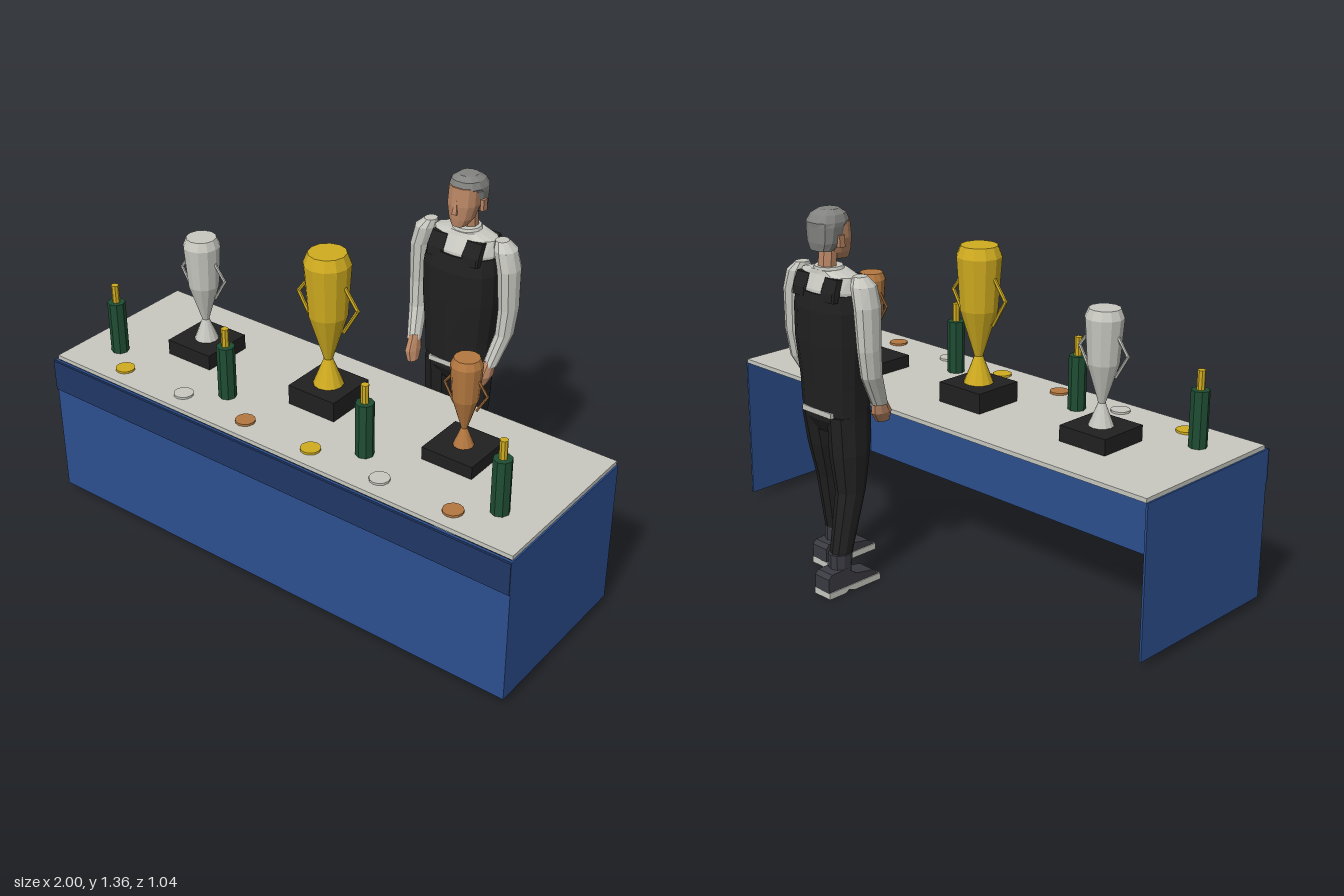
import * as THREE from 'three';

const mat = (name, hex) => {
  const m = new THREE.MeshStandardMaterial({ color: hex });
  m.name = name;
  return m;
};

// Faceted normals for any geometry
function flat(geo) {
  const g = geo.index ? geo.toNonIndexed() : geo;
  g.computeVertexNormals();
  return g;
}

// Closed body through rings [y, cx, cz, hx, hz] listed from bottom to top; p < 1 squares the rings
function loft(rings, n = 12, p = 1) {
  const pos = [], idx = [];
  const bend = v => Math.sign(v) * Math.pow(Math.abs(v), p);
  for (const [y, cx, cz, hx, hz] of rings)
    for (let i = 0; i < n; i++) {
      const a = ((i + 0.5) / n) * Math.PI * 2;
      pos.push(cx + hx * bend(Math.cos(a)), y, cz + hz * bend(Math.sin(a)));
    }
  const last = (rings.length - 1) * n, bottom = rings.length * n, top = bottom + 1;
  for (const [y, cx, cz] of [rings[0], rings[rings.length - 1]]) pos.push(cx, y, cz);
  for (let i = 0; i < n; i++) {
    const j = (i + 1) % n;
    for (let k = 0; k < last; k += n)
      idx.push(k + i, k + n + i, k + j, k + j, k + n + i, k + n + j);
    idx.push(bottom, i, j, top, last + j, last + i);
  }
  const g = new THREE.BufferGeometry();
  g.setAttribute('position', new THREE.Float32BufferAttribute(pos, 3));
  g.setIndex(idx);
  return flat(g);
}

// Straight rod between two points
function rod(a, b, r) {
  const d = b.clone().sub(a);
  const g = new THREE.CylinderGeometry(r, r, d.length() + r, 6);
  g.applyQuaternion(new THREE.Quaternion().setFromUnitVectors(new THREE.Vector3(0, 1, 0), d.normalize()));
  const c = a.clone().add(b).multiplyScalar(0.5);
  return flat(g.translate(c.x, c.y, c.z));
}

// Side profile [forward, y] extruded across x
function sideProfile(points, width) {
  const shape = new THREE.Shape(points.map(([u, y]) => new THREE.Vector2(u, y)));
  const g = new THREE.ExtrudeGeometry(shape, { depth: width, bevelEnabled: false });
  return flat(g.translate(0, 0, -width / 2).rotateY(-Math.PI / 2));
}

export function createModel() {
  const blue = mat('cloth blue', 0x2c4f8f), navy = mat('valance navy', 0x203766);
  const white = mat('off white', 0xc8c8c1), gold = mat('gold', 0xd0ac20);
  const bronze = mat('bronze', 0xb47840), black = mat('black', 0x202020);
  const green = mat('bottle green', 0x1e4d33), skin = mat('skin', 0xb88564);
  const hairGrey = mat('hair grey', 0x828280), shoeGrey = mat('shoe grey', 0x3a3a42);

  const model = new THREE.Group();
  const group = (name, parent = model) => {
    const g = new THREE.Group();
    g.name = name;
    parent.add(g);
    return g;
  };
  const add = (parent, name, geo, material, x = 0, y = 0, z = 0) => {
    const m = new THREE.Mesh(geo, material);
    m.name = name;
    m.position.set(x, y, z);
    parent.add(m);
    return m;
  };
  const box = (w, h, d) => new THREE.BoxGeometry(w, h, d);
  const disc = (r, h, n) => flat(new THREE.CylinderGeometry(r, r, h, n));

  // Table with cloth on three sides, open at the back
  const table = group('table');
  add(table, 'tableTop', box(1.988, 0.016, 0.645), white, 0, 0.592, 0.178);
  add(table, 'frontCloth', box(2, 0.555, 0.01), blue, 0, 0.3075, 0.508);
  add(table, 'valance', box(2, 0.122, 0.008), navy, 0, 0.522, 0.516);
  for (const s of [-1, 1]) add(table, 'sideCloth', box(0.008, 0.555, 0.65), blue, s * 0.996, 0.3075, 0.18);

  // Trophies share one shape at three sizes
  const cup = [[0, 0], [0.055, 0], [0.016, 0.1], [0.022, 0.12], [0.07, 0.275], [0.084, 0.47], [0.068, 0.51], [0, 0.51]]
    .map(p => new THREE.Vector2(...p));
  const trophies = [
    ['goldTrophy', gold, 0, 0.075, 1],
    ['silverTrophy', white, -0.575, 0.058, 0.81],
    ['bronzeTrophy', bronze, 0.57, 0.047, 0.655],
  ];
  for (const [name, material, x, h, size] of trophies) {
    const t = group(name);
    t.position.set(x, 0.6, 0.14);
    add(t, 'plinth', box(0.2, h, 0.2), black, 0, h / 2, 0);
    add(t, 'cup', flat(new THREE.LatheGeometry(cup, 12)), material, 0, h, 0).scale.setScalar(size);
    for (const s of [-1, 1]) {
      const [a, b, c] = [[0.076, 0.395], [0.128, 0.325], [0.07, 0.228]].map(([u, v]) => new THREE.Vector3(s * u, v, 0));
      add(t, 'upperHandle', rod(a, b, 0.007), material, 0, h, 0).scale.setScalar(size);
      add(t, 'lowerHandle', rod(b, c, 0.007), material, 0, h, 0).scale.setScalar(size);
    }
  }

  // Bottles
  for (const x of [-0.84, -0.307, 0.302, 0.838]) {
    const b = group('bottle');
    b.position.set(x, 0.6, 0.33);
    add(b, 'bottleBody', disc(0.033, 0.203, 8), green, 0, 0.1015, 0);
    add(b, 'bottleNeck', disc(0.014, 0.07, 8), gold, 0, 0.237, 0);
  }

  // Row of medals
  [gold, white, bronze, gold, white, bronze].forEach((m, i) =>
    add(model, 'medal', disc(0.036, 0.008, 12), m, -0.725 + i * 0.289, 0.604, 0.42));

  // Standing man, built around x = 0 and moved into place
  const man = group('man');
  man.position.x = 0.227;
  add(man, 'vest', loft([
    [0.66, 0, -0.347, 0.132, 0.093], [0.75, 0, -0.347, 0.135, 0.096], [0.9, 0, -0.35, 0.15, 0.105],
    [1.02, 0, -0.35, 0.15, 0.105], [1.08, 0, -0.354, 0.138, 0.092],
  ], 14, 0.8), black);
  add(man, 'shirt', loft([
    [1.05, 0, -0.354, 0.13, 0.088], [1.09, 0, -0.355, 0.136, 0.084], [1.14, 0, -0.36, 0.125, 0.058],
    [1.155, 0, -0.362, 0.065, 0.054],
  ], 14, 0.8), white);
  add(man, 'collar', loft([[1.14, 0, -0.362, 0.062, 0.056], [1.165, 0, -0.365, 0.05, 0.05]], 12), white);
  add(man, 'shirtHem', box(0.15, 0.02, 0.185), white, 0, 0.65, -0.347);
  add(man, 'hips', loft([
    [0.57, 0, -0.347, 0.09, 0.06], [0.62, 0, -0.347, 0.13, 0.088], [0.665, 0, -0.347, 0.13, 0.09],
  ], 14, 0.8), black);

  // Head
  add(man, 'neck', loft([[1.14, 0, -0.374, 0.036, 0.032], [1.22, 0, -0.366, 0.036, 0.032]], 8), skin);
  add(man, 'face', loft([
    [1.183, 0, -0.312, 0.026, 0.028], [1.21, 0, -0.328, 0.044, 0.047], [1.26, 0, -0.338, 0.057, 0.058],
    [1.325, 0, -0.342, 0.056, 0.054],
  ], 12, 0.85), skin);
  add(man, 'hair', loft([
    [1.222, 0, -0.392, 0.046, 0.034], [1.25, 0, -0.38, 0.061, 0.052], [1.305, 0, -0.374, 0.067, 0.06],
    [1.32, 0, -0.364, 0.067, 0.072], [1.345, 0, -0.36, 0.057, 0.06], [1.36, 0, -0.358, 0.035, 0.036],
  ], 12, 0.85), hairGrey);
  add(man, 'nose', loft([[1.232, 0, -0.285, 0.014, 0.018], [1.28, 0, -0.288, 0.006, 0.006]], 4), skin);

  const upper = [[0, 0.022], [0, 0.075], [0.015, 0.09], [0.085, 0.092], [0.13, 0.06], [0.21, 0.046], [0.236, 0.022]];
  const sole = [[0, 0], [0.075, 0], [0.09, 0.01], [0.12, 0], [0.24, 0], [0.24, 0.024], [0, 0.024]];
  for (const s of [-1, 1]) {
    const side = s > 0 ? 'left' : 'right';
    add(man, side + 'Ear', box(0.014, 0.042, 0.024), skin, s * 0.064, 1.256, -0.362);
    // Vest strap over the shoulder
    add(man, side + 'VestStrap', loft([
      [1.06, s * 0.073, -0.354, 0.037, 0.092], [1.09, s * 0.073, -0.355, 0.037, 0.087],
      [1.137, s * 0.073, -0.36, 0.034, 0.062],
    ], 12, 0.2), black);
    // Arm and hand
    add(man, side + 'Sleeve', loft([
      [0.685, s * 0.165, -0.292, 0.026, 0.031], [0.8, s * 0.186, -0.345, 0.032, 0.042],
      [0.9, s * 0.19, -0.357, 0.035, 0.047], [1.05, s * 0.184, -0.357, 0.04, 0.053],
      [1.12, s * 0.166, -0.356, 0.042, 0.048], [1.15, s * 0.15, -0.356, 0.024, 0.027],
    ], 10), white);
    add(man, side + 'Hand', loft([
      [0.612, s * 0.148, -0.262, 0.018, 0.028], [0.65, s * 0.158, -0.277, 0.025, 0.043],
      [0.705, s * 0.164, -0.294, 0.02, 0.026],
    ], 8), skin);
    // Leg in mid-stride, left one forward
    const knee = s > 0 ? -0.305 : -0.365, ankle = s > 0 ? -0.276 : -0.43;
    add(man, side + 'Trouser', loft([
      [0.12, s * 0.097, ankle, 0.038, 0.041], [0.36, s * 0.086, knee, 0.05, 0.057],
      [0.5, s * 0.075, (knee - 0.347) / 2, 0.064, 0.078], [0.64, s * 0.068, -0.347, 0.062, 0.088],
    ], 10), black);
    add(man, side + 'Cuff', loft([
      [0.06, s * 0.099, ankle - 0.005, 0.038, 0.04], [0.145, s * 0.098, ankle, 0.042, 0.046],
    ], 10), shoeGrey);
    const heel = s > 0 ? -0.36 : -0.52;
    add(man, side + 'Shoe', sideProfile(upper, 0.074), shoeGrey, s * 0.1, 0, heel);
    add(man, side + 'Sole', sideProfile(sole, 0.082), white, s * 0.1, 0, heel);
  }
  return model;
}
